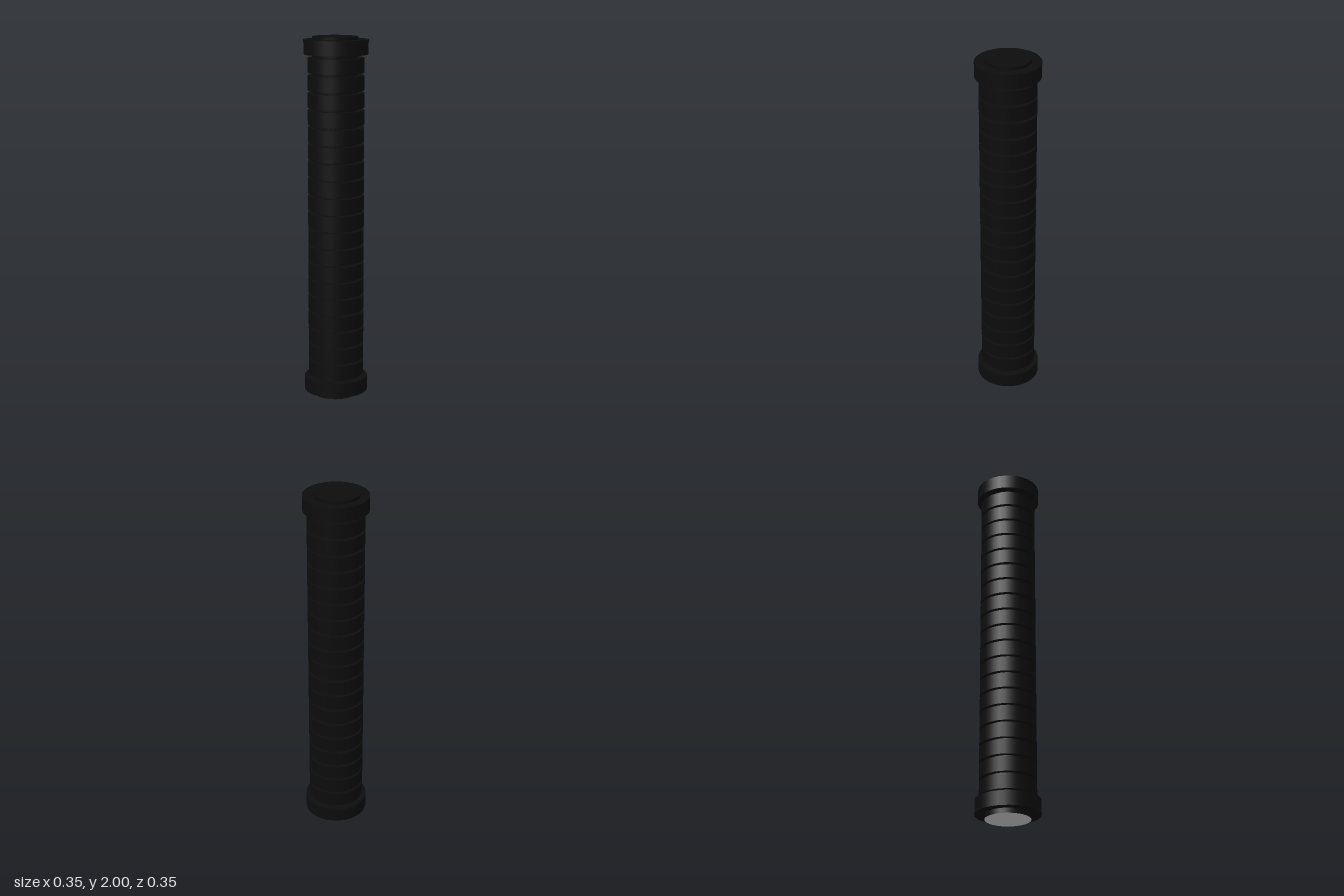
import * as THREE from 'three';

export function createModel() {
  const group = new THREE.Group();
  const black = new THREE.MeshStandardMaterial({ color: 0x0c0c0c });
  const grey = new THREE.MeshStandardMaterial({ color: 0xcccccc });

  // Upright cylinder spanning y0 to y1
  function addCylinder(name, radius, y0, y1, materials) {
    const mesh = new THREE.Mesh(new THREE.CylinderGeometry(radius, radius, y1 - y0, 32), materials);
    mesh.name = name;
    mesh.position.y = (y0 + y1) / 2;
    group.add(mesh);
    return mesh;
  }

  // Core rod, very slightly off axis, with a grey underside
  const core = addCylinder('core', 0.122, 0, 2, [black, black, grey]);
  core.position.x = -0.005;
  core.position.z = 0.003;

  // Wide collars at both ends
  addCylinder('bottomCollar', 0.175, 0.027, 0.106, black);
  addCylinder('topCollar', 0.175, 1.905, 1.984, black);

  // Stack of grip rings separated by narrow grooves
  const ringCount = 19, pitch = 0.0936, ringHeight = 0.08;
  for (let i = 0; i < ringCount; i++) {
    const y = 0.122 + i * pitch;
    addCylinder('gripRing' + (i + 1), 0.153, y, y + ringHeight, black);
  }

  return group;
}
